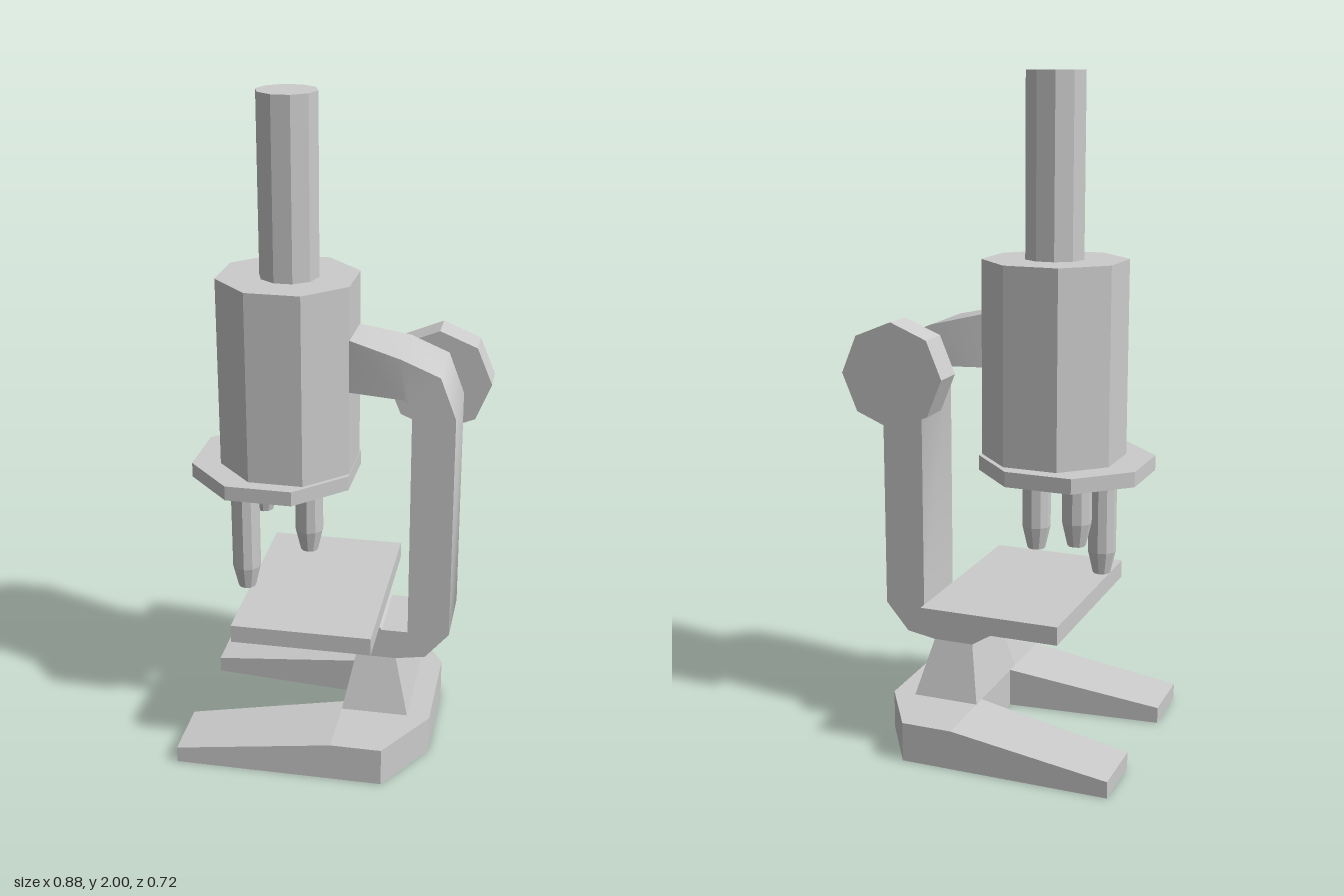
import * as THREE from 'three';
import { toCreasedNormals } from 'three/addons/utils/BufferGeometryUtils.js';

const rad = THREE.MathUtils.degToRad;

export function createModel() {
  const group = new THREE.Group();
  const smooth = new THREE.MeshStandardMaterial({ color: 0xcccccc });
  const flat = new THREE.MeshStandardMaterial({ color: 0xcccccc, flatShading: true });

  function add(name, geometry, x = 0, y = 0, z = 0, material = flat) {
    const mesh = new THREE.Mesh(geometry, material);
    mesh.name = name;
    mesh.position.set(x, y, z);
    group.add(mesh);
    return mesh;
  }

  // Closed skin over four-cornered rings; corners run right-handed about the travel direction
  function loft(rings) {
    const p = [];
    const quad = (a, b, c, d) => p.push(...a, ...b, ...c, ...a, ...c, ...d);
    for (let i = 0; i < rings.length - 1; i++) {
      for (let j = 0; j < 4; j++) {
        const k = (j + 1) % 4;
        quad(rings[i][j], rings[i][k], rings[i + 1][k], rings[i + 1][j]);
      }
    }
    const [a, b, c, d] = rings[0];
    quad(d, c, b, a);
    quad(...rings[rings.length - 1]);
    const g = new THREE.BufferGeometry();
    g.setAttribute('position', new THREE.Float32BufferAttribute(p, 3));
    return toCreasedNormals(g, 0.85);
  }

  // Vertical prism, turned so its first corner sits at the given angle from +x towards +z
  function prism(name, r, y0, y1, x, z, sides, angle) {
    const g = new THREE.CylinderGeometry(r, r, y1 - y0, sides);
    g.rotateY(rad(90 - angle));
    add(name, g, x, (y0 + y1) / 2, z);
  }

  // Horseshoe base: heel block plus two sloping legs
  const heel = new THREE.Shape([
    [0.035, -0.36], [0.19, -0.36], [0.31, -0.165], [0.31, 0.165], [0.19, 0.36], [0.035, 0.36],
  ].map(([x, z]) => new THREE.Vector2(x, z)));
  const heelGeo = new THREE.ExtrudeGeometry(heel, { depth: 0.12, bevelEnabled: false });
  heelGeo.rotateX(-Math.PI / 2);
  add('baseHeel', heelGeo);

  for (const side of [1, -1]) {
    const ring = (x, top, inner) => {
      const [z0, z1] = side > 0 ? [inner, 0.36] : [-0.36, -inner];
      return [[x, 0, z0], [x, top, z0], [x, top, z1], [x, 0, z1]];
    };
    add(side > 0 ? 'leftBaseLeg' : 'rightBaseLeg', loft([ring(-0.445, 0.05, 0.163), ring(0.035, 0.12, 0.12)]));
  }

  // Tapered post on the heel
  const postRing = (y, x0, x1, h) => [[x0, y, -h], [x0, y, h], [x1, y, h], [x1, y, -h]];
  add('post', loft([postRing(0.12, 0.035, 0.24, 0.162), postRing(0.29, 0.07, 0.195, 0.11)]));

  // Curved arm running from the body down to the stage bracket:
  // outer x, y, inner x, y, half width
  const armSections = [
    [0.03, 1.312, 0.03, 1.15, 0.077],
    [0.196, 1.273, 0.205, 1.15, 0.11],
    [0.31, 1.225, 0.222, 1.13, 0.11],
    [0.357, 1.1, 0.23, 1.11, 0.11],
    [0.357, 0.39, 0.23, 0.41, 0.11],
    [0.285, 0.305, 0.23, 0.386, 0.11],
    [0.195, 0.29, 0.15, 0.386, 0.11],
    [0.07, 0.29, 0.125, 0.42, 0.11],
    [-0.13, 0.415, -0.12, 0.42, 0.11],
  ];
  add('arm', loft(armSections.map(([ox, oy, ix, iy, h]) =>
    [[ix, iy, -h], [ox, oy, -h], [ox, oy, h], [ix, iy, h]])), 0, 0, 0, smooth);

  // Focus knob on the right side of the arm
  const knob = new THREE.CylinderGeometry(0.16, 0.16, 0.1, 8);
  knob.rotateX(Math.PI / 2);
  add('focusKnob', knob, 0.28, 1.13, -0.159);

  // Specimen stage
  add('stage', new THREE.BoxGeometry(0.423, 0.055, 0.62), -0.064, 0.443, -0.002);

  // Body, eyepiece tube and nosepiece
  prism('body', 0.214, 0.89, 1.47, -0.155, -0.008, 8, 23.7);
  prism('eyepieceTube', 0.089, 1.47, 2, -0.15, 0, 10, 0);
  prism('nosepiece', 0.261, 0.845, 0.89, -0.197, -0.01, 8, 23.7);

  // Three objectives of different lengths with tapered tips: x, z, tip height
  for (const [x, z, tip] of [[-0.273, 0.102, 0.5], [-0.097, 0, 0.59], [-0.267, -0.123, 0.655]]) {
    const profile = [[0, tip], [0.027, tip], [0.043, tip + 0.07], [0.043, 0.85], [0, 0.85]];
    add('objective', new THREE.LatheGeometry(profile.map(([r, y]) => new THREE.Vector2(r, y)), 10), x, 0, z);
  }

  return group;
}
